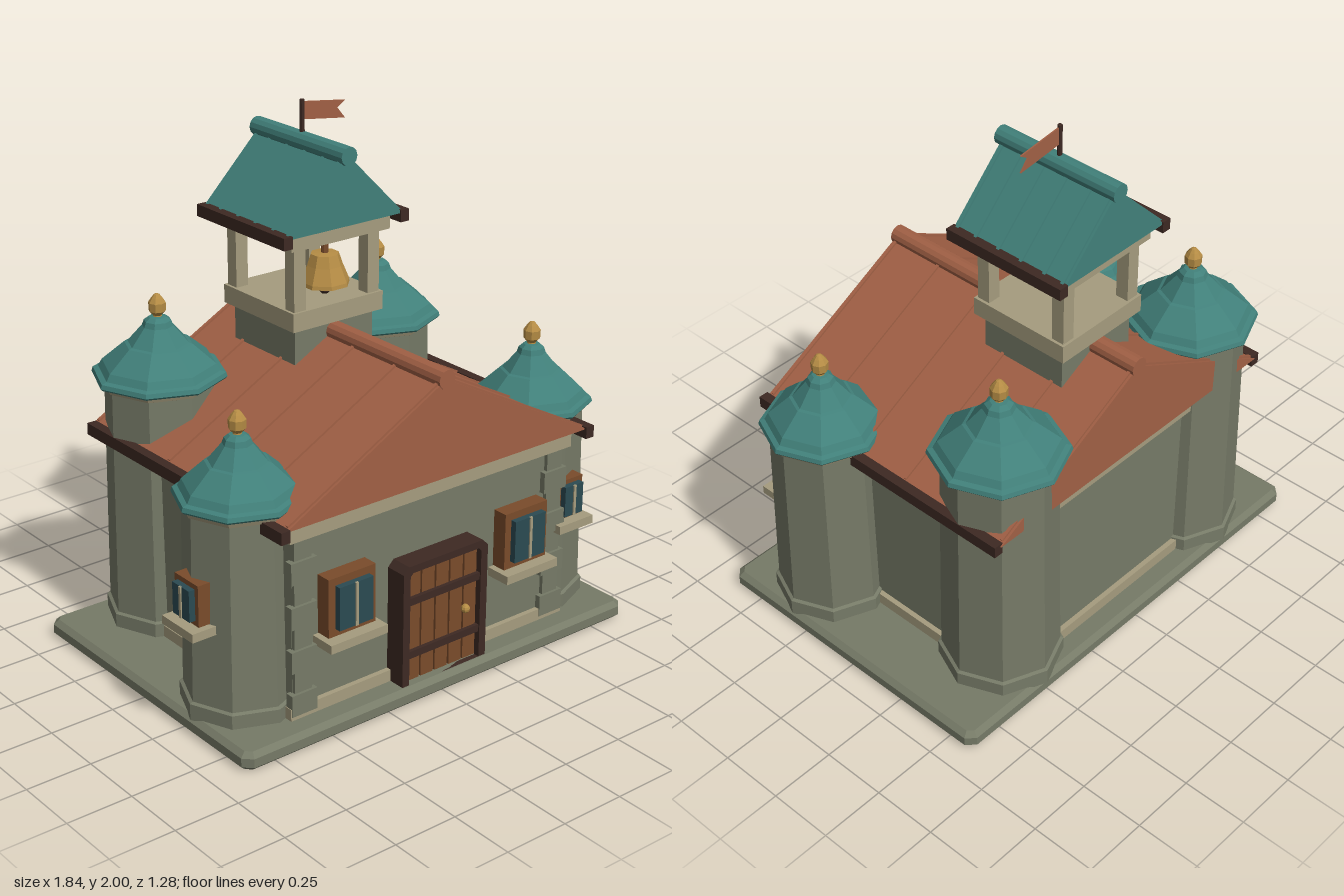
import * as THREE from 'three';

const mat = (name, color) => Object.assign(new THREE.MeshStandardMaterial({ color }), { name });
const M = {
  stone: mat('stone', 0x767a67),
  cream: mat('creamStone', 0xa59c7e),
  tile: mat('terracotta', 0xa16045),
  teal: mat('tealRoof', 0x41807a),
  dark: mat('darkWood', 0x3d2923),
  wood: mat('wood', 0x7a4c2b),
  brass: mat('brass', 0xb68d45),
  glass: mat('glass', 0x2b4a52),
};
const CX = 0.012; // shared middle of the building

export function createModel() {
  const root = new THREE.Group();
  root.name = 'chapel';

  // Flat-shaded mesh
  const add = (parent, name, geo, m, x = 0, y = 0, z = 0) => {
    const g = geo.index ? geo.toNonIndexed() : geo;
    g.computeVertexNormals();
    const mesh = new THREE.Mesh(g, m);
    mesh.name = name;
    mesh.position.set(x, y, z);
    parent.add(mesh);
    return mesh;
  };
  // Box given by its limits
  const box = (parent, name, m, x0, x1, y0, y1, z0, z1) =>
    add(parent, name, new THREE.BoxGeometry(x1 - x0, y1 - y0, z1 - z0), m, (x0 + x1) / 2, (y0 + y1) / 2, (z0 + z1) / 2);
  const lathe = (pts, n = 8) => new THREE.LatheGeometry(pts.map(p => new THREE.Vector2(...p)), n);
  const poly = pts => new THREE.Shape(pts.map(p => new THREE.Vector2(...p)));
  const extrude = (pts, depth) => new THREE.ExtrudeGeometry(poly(pts), { depth, bevelEnabled: false });
  const group = (name, x, y, z) => {
    const g = new THREE.Group();
    g.name = name;
    g.position.set(x, y, z);
    root.add(g);
    return g;
  };

  // Plinth with clipped corners and a small bevel
  const w = 0.875, d = 0.605, c = 0.02;
  const plinth = new THREE.ExtrudeGeometry(
    poly([[-w + c, -d], [w - c, -d], [w, -d + c], [w, d - c], [w - c, d], [-w + c, d], [-w, d - c], [-w, -d + c]]),
    { depth: 0.034, bevelThickness: 0.018, bevelSize: 0.02, bevelSegments: 1 });
  plinth.rotateX(-Math.PI / 2);
  add(root, 'plinth', plinth, M.stone, CX, 0.018, 0.014);

  // Hall walls and the trim courses around them
  box(root, 'hallWalls', M.stone, CX - 0.62, CX + 0.62, 0.06, 0.8, -0.505, 0.53);
  box(root, 'lowerCourse', M.cream, CX - 0.64, CX + 0.64, 0.07, 0.115, -0.525, 0.55);
  box(root, 'upperCourse', M.cream, CX - 0.647, CX + 0.647, 0.75, 0.81, -0.535, 0.56);

  // Quoins on the front corners
  for (const s of [-1, 1]) for (let i = 0; i < 8; i++) {
    const half = i % 2 ? 0.037 : 0.055, y = 0.085 + i * 0.084, x = CX + s * 0.582;
    box(root, 'quoin', M.stone, x - half, x + half, y, y + 0.082, 0.52, i % 2 ? 0.545 : 0.553);
  }

  // Gabled roof with ridge roll, standing seams and eave beams
  const gable = (name, m, half, y0, y1, z0, z1, ridgeR, over, seams) => {
    const g = group(name, CX, 0, 0);
    add(g, 'gable', extrude([[-half, y0], [half, y0], [0, y1]], z1 - z0), m, 0, 0, z0);
    const ridge = new THREE.CylinderGeometry(ridgeR, ridgeR, z1 - z0 + 2 * over, 12);
    ridge.rotateX(Math.PI / 2);
    add(g, 'ridgeRoll', ridge, m, 0, y1, (z0 + z1) / 2);
    const rise = y1 - y0, len = Math.hypot(half, rise);
    for (const s of [-1, 1]) {
      for (const z of seams) {
        const seam = add(g, 'roofSeam', new THREE.BoxGeometry(len * 0.95, 0.012, 0.012), m, s * half * 0.5, (y0 + y1) / 2 + 0.002, z);
        seam.rotation.z = -s * Math.atan2(rise, half);
      }
    }
    return g;
  };
  const mainRoof = gable('mainRoof', M.tile, 0.69, 0.82, 1.187, -0.57, 0.595, 0.036, 0.004, [-0.555, -0.33, -0.1, 0.13, 0.36, 0.58]);
  const topRoof = gable('belfryRoof', M.teal, 0.255, 1.595, 1.85, -0.45, 0.055, 0.035, 0.014, [-0.435, -0.355, -0.25, -0.148, -0.044, 0.04]);
  for (const s of [-1, 1]) {
    add(mainRoof, 'eaveBeam', new THREE.BoxGeometry(0.038, 0.045, 1.17), M.dark, s * 0.697, 0.808, 0.02);
    add(topRoof, 'eaveBeam', new THREE.BoxGeometry(0.038, 0.045, 0.517), M.dark, s * 0.262, 1.585, -0.197);
  }

  // Octagonal corner towers
  const tower = (name, x, z, r, eave, roofR) => {
    const g = group(name, x, 0, z);
    add(g, 'towerWall', lathe([[r + 0.005, 0.06], [r - 0.008, eave - 0.02]]), M.stone);
    add(g, 'towerFoot', lathe([[r, 0.05], [r + 0.016, 0.06], [r + 0.016, 0.122], [r, 0.13]]), M.stone);
    add(g, 'towerCornice', lathe([[r - 0.02, eave - 0.03], [r, eave - 0.022], [r + 0.012, eave + 0.004]]), M.cream);
    add(g, 'towerRoof', lathe([[0, 0], [roofR * 0.97, 0], [roofR, 0.008], [roofR * 0.98, 0.024], [roofR * 0.9, 0.03],
      [roofR * 0.84, 0.056], [roofR * 0.5, 0.128], [roofR * 0.45, 0.132], [roofR * 0.23, 0.195], [roofR * 0.2, 0.215],
      [roofR * 0.13, 0.228], [0, 0.232]]), M.teal, 0, eave, 0);
    add(g, 'finial', lathe([[0, 0], [0.018, 0], [0.016, 0.012], [0.031, 0.028], [0.032, 0.06], [0.02, 0.078], [0.01, 0.09], [0, 0.093]]),
      M.brass, 0, eave + 0.222, 0);
  };
  for (const s of [-1, 1]) {
    const side = s < 0 ? 'right' : 'left';
    tower(side + 'FrontTower', CX + s * 0.672, 0.31, 0.205, 0.845, 0.232);
    tower(side + 'BackTower', CX + s * 0.508, -0.393, 0.212, 1.02, 0.25);
  }

  // Windows: wooden frame, raised glass, mullion and sill
  const windowUnit = (name, x, y, z, ww, hh, turn = 0) => {
    const g = group(name, x, y, z);
    g.rotation.y = turn;
    const a = ww / 2, b = hh / 2, t = ww * 0.14;
    for (const s of [-1, 1]) {
      box(g, 'frameSide', M.wood, s * (a - t / 2) - t / 2, s * (a - t / 2) + t / 2, -b, b, -0.03, 0.05);
      box(g, 'frameRail', M.wood, -a + t, a - t, s * (b - t / 2) - t / 2, s * (b - t / 2) + t / 2, -0.03, 0.05);
    }
    box(g, 'pane', M.glass, -a + t, a - t, -b + t, b - t, -0.02, 0.074);
    box(g, 'mullion', M.cream, -0.006, 0.006, -b + t, b - t, 0.07, 0.079);
    box(g, 'sill', M.cream, -a - 0.022, a + 0.022, -b - 0.036, -b - 0.003, -0.04, 0.092);
  };
  for (const s of [-1, 1]) windowUnit('frontWindow', CX + s * 0.405, 0.475, 0.54, 0.205, 0.222);
  windowUnit('sideTowerWindow', -0.832, 0.525, 0.31, 0.135, 0.155, -Math.PI / 2);
  windowUnit('frontTowerWindow', 0.69, 0.525, 0.485, 0.125, 0.155);

  // Plank door in a clipped frame
  const door = group('door', CX, 0.07, 0);
  const outline = (a, h, k) => [[-a, 0], [a, 0], [a, h - k], [a - k, h], [-a + k, h], [-a, h - k]];
  const frame = poly(outline(0.196, 0.468, 0.025));
  frame.holes.push(new THREE.Path(outline(0.165, 0.44, 0.012).map(p => new THREE.Vector2(...p))));
  add(door, 'doorFrame', new THREE.ExtrudeGeometry(frame, { depth: 0.09, bevelEnabled: false }), M.dark, 0, 0, 0.525);
  box(door, 'doorBacking', M.dark, -0.17, 0.17, 0, 0.445, 0.525, 0.575);
  for (let i = 0; i < 5; i++) {
    const x = -0.132 + i * 0.066;
    box(door, 'doorPlank', M.wood, x - 0.029, x + 0.029, 0.005, 0.437, 0.57, 0.595);
  }
  for (const y of [0.115, 0.325]) box(door, 'doorStrap', M.dark, -0.165, 0.165, y - 0.014, y + 0.014, 0.59, 0.61);
  add(door, 'doorKnob', new THREE.SphereGeometry(0.017, 8, 6), M.brass, 0.092, 0.222, 0.618);

  // Open belfry
  const bel = group('belfry', CX, 0, -0.197);
  box(bel, 'belfryBase', M.stone, -0.177, 0.177, 0.95, 1.235, -0.18, 0.18);
  box(bel, 'belfryParapet', M.cream, -0.204, 0.204, 1.23, 1.3, -0.208, 0.208);
  for (const sx of [-1, 1]) for (const sz of [-1, 1])
    box(bel, 'belfryPost', M.cream, sx * 0.167 - 0.026, sx * 0.167 + 0.026, 1.29, 1.55, sz * 0.172 - 0.026, sz * 0.172 + 0.026);
  box(bel, 'belfryLintel', M.cream, -0.222, 0.222, 1.535, 1.597, -0.222, 0.222);

  // Bell with hanger and clapper
  const bell = group('bell', 0, 0, -0.055);
  const shell = add(bell, 'bellShell', lathe([[0, 1.37], [0.08, 1.37], [0.092, 1.358], [0.09, 1.372], [0.066, 1.43], [0.052, 1.472], [0, 1.476]]), M.brass);
  shell.rotation.y = Math.PI / 8;
  add(bell, 'bellHanger', new THREE.CylinderGeometry(0.014, 0.014, 0.075, 8), M.wood, 0, 1.507, 0);
  add(bell, 'bellClapper', new THREE.SphereGeometry(0.024, 8, 6), M.dark, 0, 1.342, 0);

  // Flag on the ridge
  const flag = group('flag', CX, 0, -0.197);
  add(flag, 'flagPole', new THREE.CylinderGeometry(0.009, 0.009, 0.14, 8), M.dark, 0, 1.93, 0);
  add(flag, 'pennant', extrude([[0.006, 1.927], [0.192, 1.903], [0.157, 1.945], [0.193, 1.968], [0.006, 1.992]], 0.006), M.tile, 0, 0, -0.003);

  return root;
}
